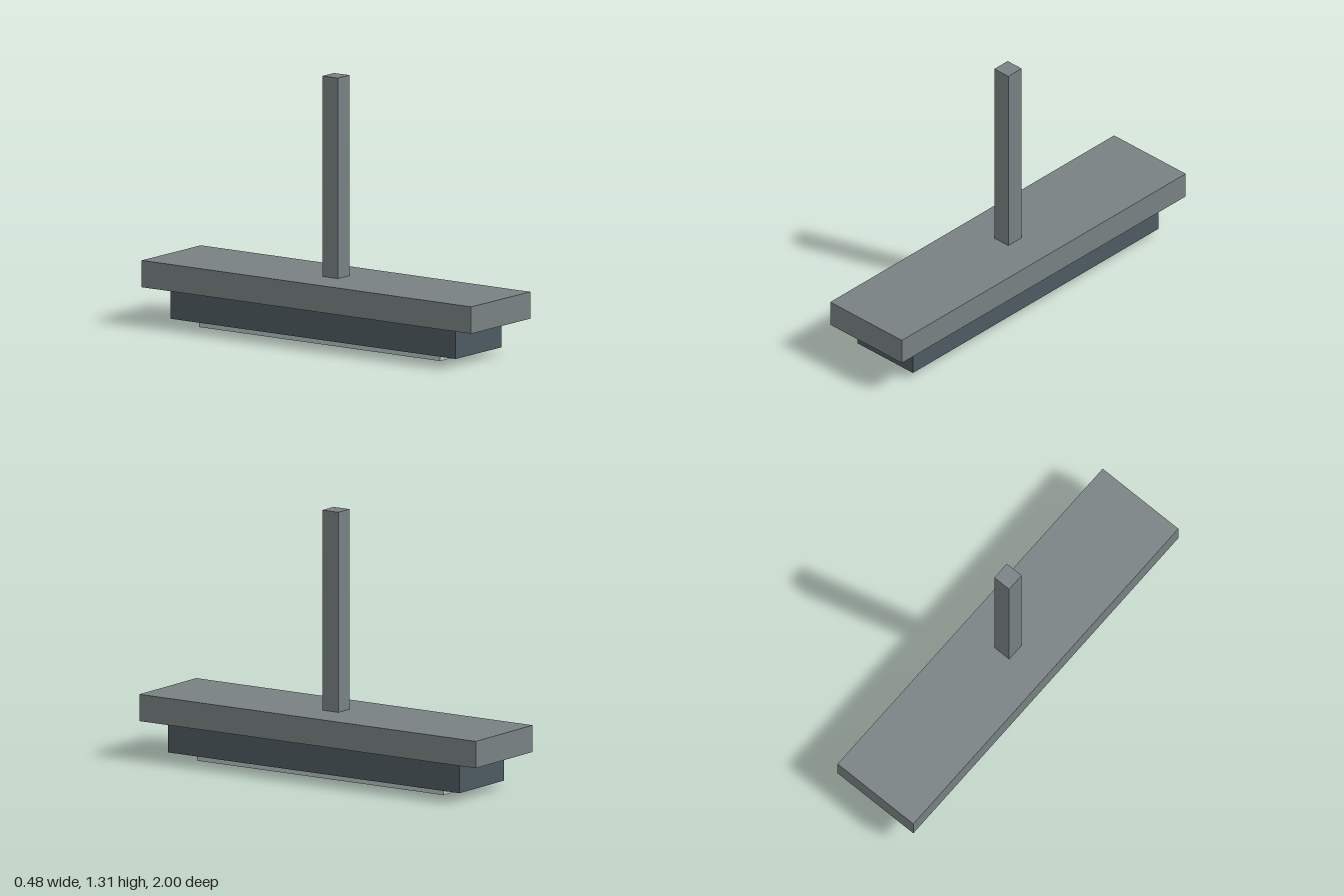
import * as THREE from 'three';

export function createModel() {
  const material = (name, color) => {
    const m = new THREE.MeshStandardMaterial({ color });
    m.name = name;
    return m;
  };
  const metal = material('grey metal', 0x798183);
  const darkMetal = material('dark slate metal', 0x4d5b61);
  const glass = material('pale diffuser', 0xb2c1be);

  const model = new THREE.Group();
  model.name = 'hangingLamp';

  // Box centred on x and z, spanning bottom to top
  const addBox = (name, width, depth, bottom, top, mat) => {
    const mesh = new THREE.Mesh(new THREE.BoxGeometry(width, top - bottom, depth), mat);
    mesh.name = name;
    mesh.position.y = (bottom + top) / 2;
    model.add(mesh);
  };

  // Stepped lamp body, from the light panel up to the ceiling rod
  addBox('diffuserPanel', 0.268, 1.464, 0, 0.034, glass);
  addBox('lampHousing', 0.374, 1.732, 0.034, 0.183, darkMetal);
  addBox('topPlate', 0.482, 2, 0.183, 0.316, metal);
  addBox('suspensionRod', 0.094, 0.094, 0.316, 1.31, metal);

  return model;
}
